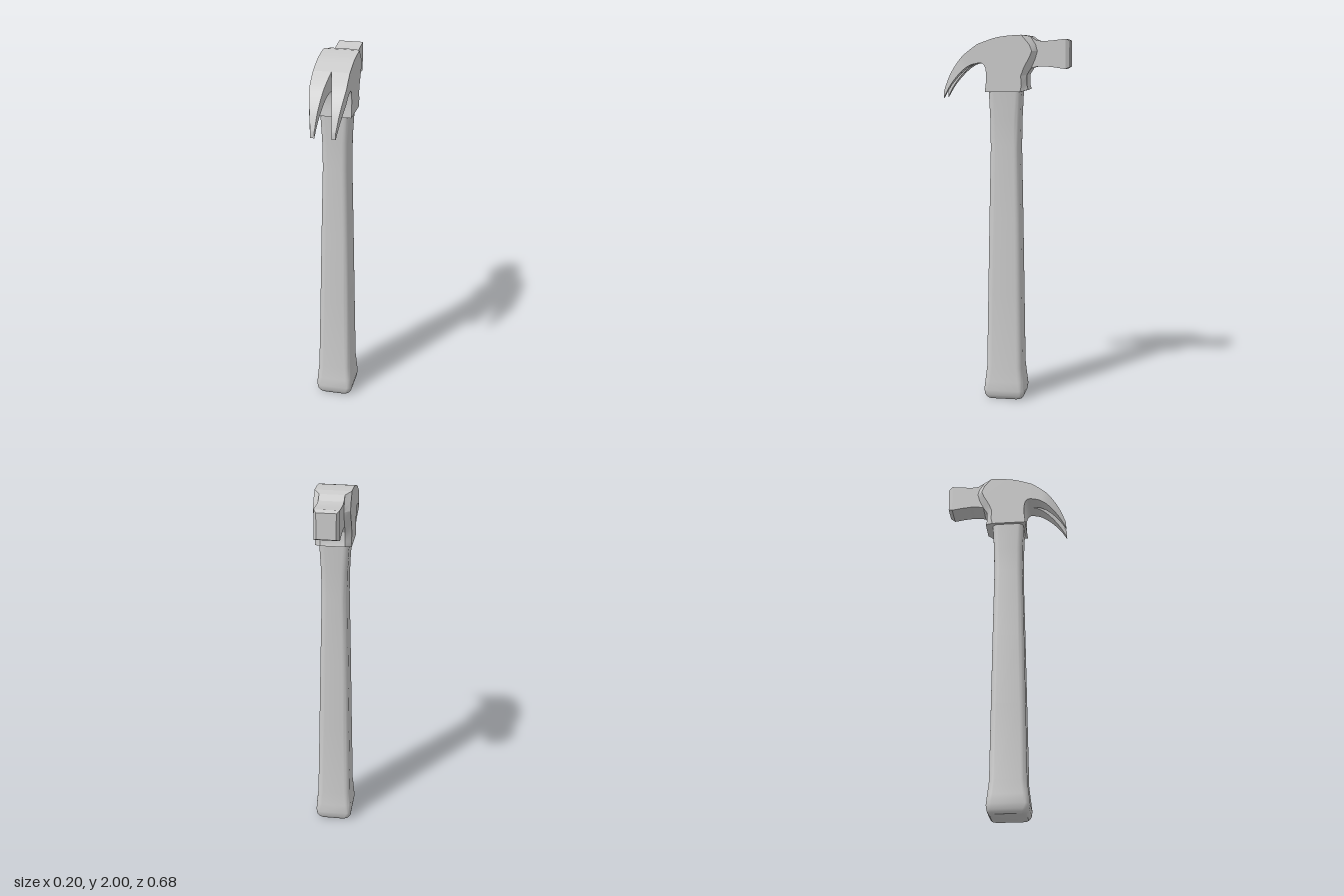
import * as THREE from 'three';
import { toCreasedNormals } from 'three/addons/utils/BufferGeometryUtils.js';

const material = new THREE.MeshStandardMaterial({ color: 0xcccccc });
const HALF = 0.095; // half width of the head
const POLL = 0.065; // half width of the poll

function part(name, geometry, crease = 0.6) {
  const mesh = new THREE.Mesh(toCreasedNormals(geometry, crease), material);
  mesh.name = name;
  return mesh;
}

// Skins a list of cross-sections; closed sections also get end caps.
function skin(rings, closed = true) {
  const n = rings[0].length, index = [];
  for (let i = 0; i < rings.length - 1; i++) {
    for (let j = 0; j < (closed ? n : n - 1); j++) {
      const k = (j + 1) % n;
      const a = i * n + j, b = i * n + k, c = b + n, d = a + n;
      index.push(a, b, c, a, c, d);
    }
  }
  if (closed) {
    const last = (rings.length - 1) * n;
    for (let j = 1; j < n - 1; j++) index.push(0, j + 1, j, last, last + j, last + j + 1);
  }
  const geometry = new THREE.BufferGeometry();
  geometry.setAttribute('position', new THREE.Float32BufferAttribute(rings.flat(2), 3));
  geometry.setIndex(index);
  return geometry;
}

const spline = (points, n) =>
  new THREE.SplineCurve(points.map(p => new THREE.Vector2(...p))).getPoints(n);

// Rounded rectangle in the xz plane
function roundedRing(y, hx, hz, r = 0.032, steps = 6) {
  const ring = [];
  for (let q = 0; q < 4; q++) {
    const sx = q < 2 ? 1 : -1, sz = q === 0 || q === 3 ? 1 : -1;
    for (let s = 0; s <= steps; s++) {
      const a = (q + s / steps) * Math.PI / 2;
      ring.push([sx * (hx - r) + r * Math.sin(a), y, 0.008 + sz * (hz - r) + r * Math.cos(a)]);
    }
  }
  return ring;
}

function handle() {
  const rows = [ // height, half width, half depth
    [0, 0.084, 0.095], [0.008, 0.091, 0.103], [0.022, 0.098, 0.110], [0.05, 0.102, 0.114],
    [0.1, 0.099, 0.108], [0.18, 0.092, 0.099], [0.6, 0.084, 0.093], [1.0, 0.077, 0.087],
    [1.4, 0.069, 0.080], [1.55, 0.071, 0.082], [1.72, 0.080, 0.089],
  ];
  return part('handle', skin(rows.map(r => roundedRing(...r))), 0.7);
}

// Rear edge of the cheeks and the narrower edge behind it: z, y, z, y
const rearEdges = [
  [-0.08, 1.70, -0.12, 1.712], [-0.087, 1.735, -0.113, 1.735], [-0.083, 1.785, -0.113, 1.79],
  [-0.10, 1.83, -0.135, 1.825], [-0.13, 1.885, -0.157, 1.875], [-0.142, 1.915, -0.168, 1.915],
  [-0.128, 1.95, -0.158, 1.95], [-0.085, 2.0, -0.13, 1.993],
];

function headBody() {
  const outline = [
    ...spline([[0.15, 1.952], [0.06, 1.983], [-0.01, 1.995], [-0.085, 2.0]], 12),
    ...rearEdges.slice(0, -1).reverse().map(r => new THREE.Vector2(r[0], r[1])),
    ...spline([[0.11, 1.70], [0.103, 1.765], [0.107, 1.825], [0.125, 1.85], [0.15, 1.851]], 14),
  ];
  const geometry = new THREE.ExtrudeGeometry(new THREE.Shape(outline),
    { depth: 2 * HALF, bevelEnabled: false });
  geometry.rotateY(-Math.PI / 2).translate(HALF, 0, 0);
  return part('headBody', geometry);
}

// Chamfered back of the head, closed at top and bottom
function headBack() {
  const first = rearEdges[0], last = rearEdges[rearEdges.length - 1];
  const rows = [[first[0], first[1], first[0], first[1]], ...rearEdges,
    [last[0], last[1], last[0], last[1]]];
  return part('headBack', skin(rows.map(([za, ya, zb, yb]) => [
    [HALF, ya, za], [POLL, yb, zb], [-POLL, yb, zb], [-HALF, ya, za],
  ]), false), 0.45);
}

function poll() {
  const rows = [ // z, bottom, top, half width
    [-0.34, 1.832, 1.969, 0.05], [-0.318, 1.821, 1.979, POLL], [-0.26, 1.83, 1.972, POLL],
    [-0.205, 1.835, 1.967, POLL], [-0.165, 1.833, 1.970, POLL], [-0.13, 1.825, 1.993, POLL],
    [-0.08, 1.825, 1.998, POLL],
  ];
  return part('poll', skin(rows.map(([z, b, t, w]) =>
    [[-w, b, z], [w, b, z], [w, t, z], [-w, t, z]])), 0.45);
}

// One claw prong; side is 1 for left, -1 for right
function prong(side) {
  const top = spline([[0.15, 1.952], [0.235, 1.885], [0.30, 1.795], [0.34, 1.70]], 20);
  const under = spline([[0.15, 1.851], [0.195, 1.838], [0.245, 1.80], [0.30, 1.735], [0.34, 1.665]], 20);
  const inner = z => 0.044 * (z - 0.15) / 0.19;
  const outer = z => HALF - 0.03 * Math.max(0, (z - 0.22) / 0.12) ** 1.4;
  const rings = top.map((t, i) => {
    const u = under[i];
    const ring = [
      [side * inner(u.x), u.y, u.x], [side * outer(u.x), u.y, u.x],
      [side * outer(t.x), t.y, t.x], [side * inner(t.x), t.y, t.x],
    ];
    return side > 0 ? ring : ring.reverse();
  });
  return part(side > 0 ? 'leftClaw' : 'rightClaw', skin(rings));
}

export function createModel() {
  const model = new THREE.Group();
  model.name = 'clawHammer';
  const head = new THREE.Group();
  head.name = 'head';
  head.add(headBody(), headBack(), poll(), prong(1), prong(-1));
  model.add(handle(), head);
  return model;
}
